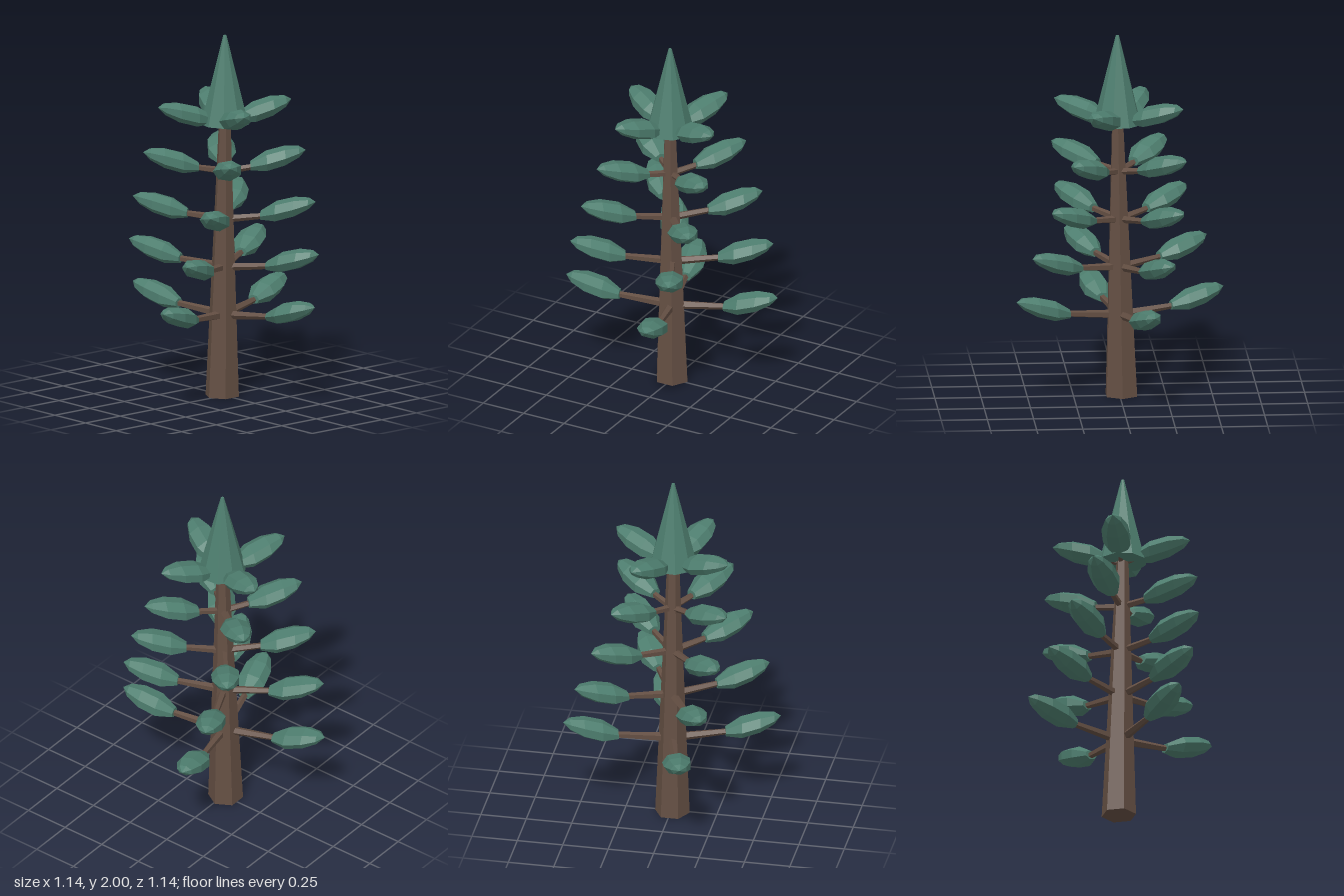
import * as THREE from 'three';

const TIERS = 5, ARMS = 4;

export function createModel() {
  const tree = new THREE.Group();
  tree.name = 'tree';
  const bark = new THREE.MeshStandardMaterial({ color: 0x644f43, flatShading: true });
  const green = new THREE.MeshStandardMaterial({ color: 0x4d7d6e, flatShading: true });

  const add = (parent, name, geometry, material) => {
    const mesh = new THREE.Mesh(geometry, material);
    mesh.name = name;
    parent.add(mesh);
    return mesh;
  };

  // Slightly leaning six-sided trunk
  const leanX = y => -0.01 + 0.0135 * y;
  const trunkGeo = new THREE.CylinderGeometry(0.032, 0.095, 1.56, 6).translate(0, 0.78, 0);
  const tp = trunkGeo.attributes.position;
  for (let i = 0; i < tp.count; i++) tp.setX(i, tp.getX(i) + leanX(tp.getY(i)));
  add(tree, 'trunk', trunkGeo, bark).position.z = 0.007;

  // Pointed crown with a tiny flat tip
  const crown = add(tree, 'crown', new THREE.CylinderGeometry(0.009, 0.131, 0.49, 9), green);
  crown.position.set(0.012, 1.755, 0.007);
  crown.rotation.y = 0.1;

  // Leaf clump along +x: faceted, flattened and rising toward its tip
  const profile = [[0, 0], [0.036, 0], [0.079, 0.085], [0.076, 0.185], [0.045, 0.262], [0, 0.3]]
    .map(([r, y]) => new THREE.Vector2(r, y));
  const leafGeo = new THREE.LatheGeometry(profile, 7).rotateZ(-Math.PI / 2).scale(1, 0.72, 1);
  const lp = leafGeo.attributes.position;
  for (let i = 0; i < lp.count; i++) lp.setY(i, lp.getY(i) + 0.28 * lp.getX(i));

  // Tiers of four branches, twisting and shortening upward
  const reach = [0.59, 0.55, 0.5, 0.44, 0.375];
  for (let t = 0; t < TIERS; t++) {
    const tier = new THREE.Group();
    tier.name = `tier${t + 1}`;
    const y = 0.45 + 0.265 * t;
    tier.position.set(leanX(y) * 0.5, y, 0.003);
    tree.add(tier);
    const inner = reach[t] - 0.3;
    const length = inner + 0.04;
    const branchGeo = new THREE.CylinderGeometry(0.016, 0.026 - 0.002 * t, length, 5)
      .translate(0, length / 2, 0)
      .rotateZ(-Math.PI / 2 + Math.atan2(0.03, inner + 0.06));
    for (let k = 0; k < ARMS; k++) {
      const arm = new THREE.Group();
      arm.name = 'branchWithLeaf';
      arm.rotation.y = THREE.MathUtils.degToRad(15 + 12.5 * t + 90 * k);
      tier.add(arm);
      add(arm, 'branch', branchGeo, bark);
      add(arm, 'leafClump', leafGeo, green).position.set(inner, 0.027, 0);
    }
  }
  return tree;
}
